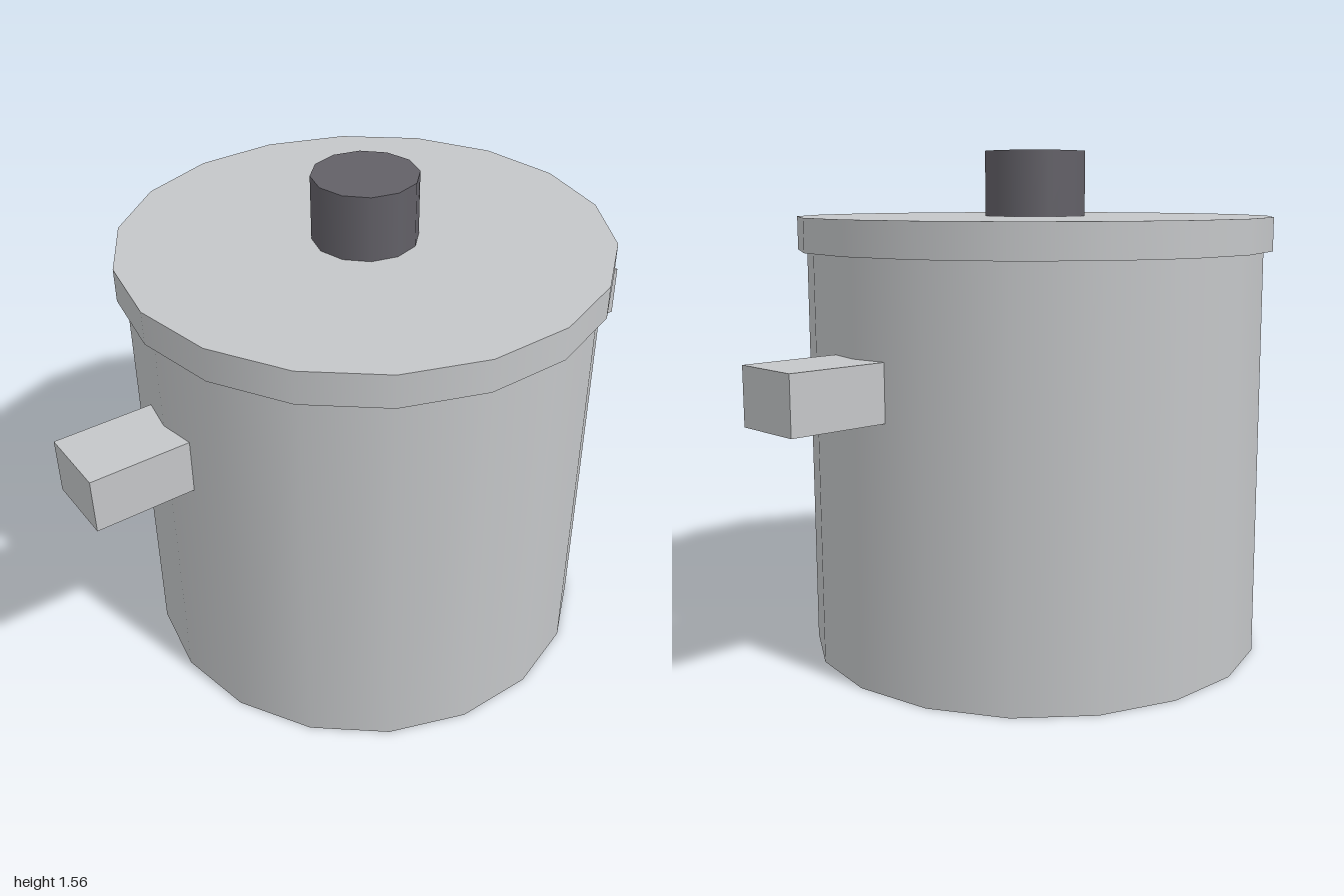
import * as THREE from 'three';

export function createModel() {
  const steel = new THREE.MeshStandardMaterial({ color: 0xc4c6c8 });
  steel.name = 'steel';
  const darkPlastic = new THREE.MeshStandardMaterial({ color: 0x626067 });
  darkPlastic.name = 'darkPlastic';

  const pot = new THREE.Group();
  pot.name = 'cookingPot';

  function add(name, geometry, material, x, y) {
    const mesh = new THREE.Mesh(geometry, material);
    mesh.name = name;
    mesh.position.set(x, y, 0);
    pot.add(mesh);
  }

  // Upright cylinder between two heights, with a corner on the x axis
  function drum(name, radius, bottom, top, sides, material) {
    const height = top - bottom;
    const geometry = new THREE.CylinderGeometry(radius, radius, height, sides, 1, false, Math.PI / 2);
    add(name, geometry, material, 0, bottom + height / 2);
  }

  drum('body', 0.714, 0, 1.26, 18, steel);
  drum('lid', 0.742, 1.26, 1.362, 18, steel);
  drum('lidKnob', 0.16, 1.362, 1.562, 12, darkPlastic);

  // Block handles, slightly sunk into the body
  for (const side of [1, -1]) {
    add(side > 0 ? 'leftHandle' : 'rightHandle',
      new THREE.BoxGeometry(0.32, 0.172, 0.228), steel, side * 0.84, 0.888);
  }

  return pot;
}
